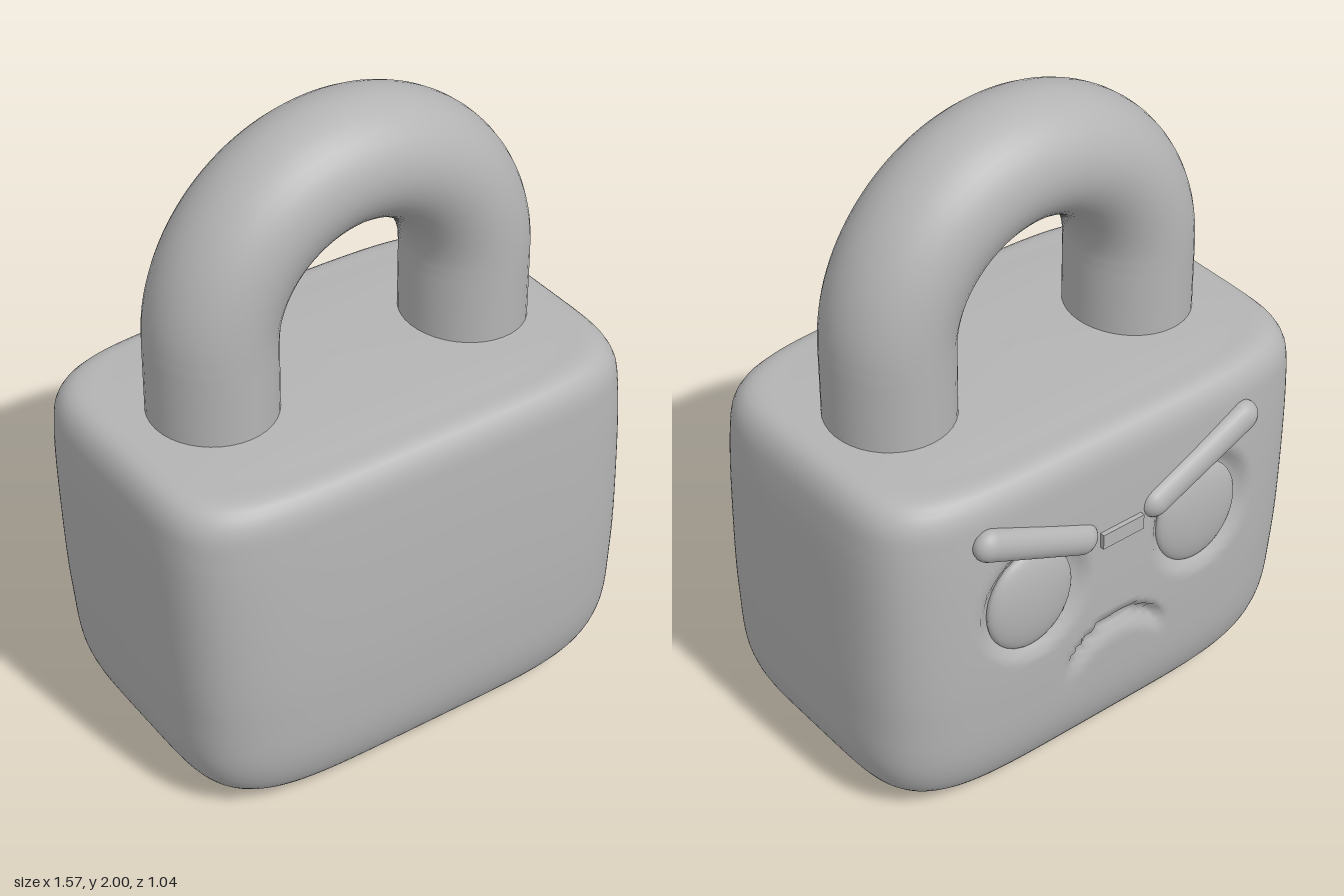
import * as THREE from 'three';
import { ParametricGeometry } from 'three/addons/geometries/ParametricGeometry.js';

const V = (x, y, z) => new THREE.Vector3(x, y, z);
const smooth = THREE.MathUtils.smoothstep;

// Half width, height and half depth of the body, from underside to top
const profile = new THREE.CatmullRomCurve3([
  V(0, 0, 0), V(0.45, 0.006, 0.28), V(0.6, 0.03, 0.4), V(0.7, 0.085, 0.455),
  V(0.75, 0.19, 0.49), V(0.77, 0.4, 0.506), V(0.778, 0.65, 0.508), V(0.778, 1.0, 0.495),
  V(0.765, 1.09, 0.485), V(0.73, 1.137, 0.455), V(0.6, 1.152, 0.36), V(0, 1.165, 0),
]);

// Depth of the eye sockets and the frowning mouth pressed into the back
function dent(x, y) {
  const eye = Math.hypot((Math.abs(x) - 0.31) / 0.2, (y - 0.72) / 0.21);
  const sockets = 0.036 * (1 - smooth(eye, 0.72, 1));
  const below = 0.52 - 3 * x * x - y;
  const mouth = 0.035 * smooth(below, 0, 0.025) * (1 - smooth(below, 0.025, 0.1))
    * (1 - smooth(Math.abs(x), 0.13, 0.2));
  return Math.max(sockets, mouth);
}

// Rounded-rectangle sections stacked along the profile, leaning very slightly
function bodyGeometry() {
  const geometry = new ParametricGeometry((u, v, target) => {
    const p = profile.getPointAt(THREE.MathUtils.clamp(v, 0, 1));
    const c = Math.cos(u * Math.PI * 2), s = Math.sin(u * Math.PI * 2);
    const r = Math.pow(Math.abs(c) ** 5 + Math.abs(s) ** 5, -0.2);
    const y = Math.max(p.y, 0);
    const x = p.x * r * c;
    let z = -p.z * r * s;
    if (z < -0.4 && y > 0.3 && y < 1.05) z += dent(x, y);
    target.set(x + 0.015 - 0.027 * y, y, z + 0.01);
  }, 280, 110);
  geometry.computeVertexNormals();
  return geometry;
}

// Centre line of the shackle: two straight legs and a half circle
function shacklePath() {
  const path = new THREE.CurvePath();
  const arc = [];
  for (let i = 0; i <= 24; i++) {
    const a = Math.PI * (1 - i / 24);
    arc.push(V(0.435 * Math.cos(a), 1.38 + 0.435 * Math.sin(a), 0));
  }
  path.add(new THREE.LineCurve3(V(-0.435, 1.05, 0), arc[0]));
  path.add(new THREE.CatmullRomCurve3(arc));
  path.add(new THREE.LineCurve3(arc[24], V(0.435, 1.05, 0)));
  return path;
}

export function createModel() {
  const group = new THREE.Group();
  const grey = new THREE.MeshStandardMaterial({ color: 0xb4b4b4 });
  grey.name = 'grey';

  const add = (name, geometry, position = [0, 0, 0]) => {
    const mesh = new THREE.Mesh(geometry, grey);
    mesh.name = name;
    mesh.position.set(...position);
    group.add(mesh);
    return mesh;
  };

  add('body', bodyGeometry());

  const shackle = add('shackle', new THREE.TubeGeometry(shacklePath(), 90, 0.187, 40));
  shackle.scale.z = 1.07;

  // Angry eyes and slanted brows on the back
  for (const side of [1, -1]) {
    const label = side > 0 ? 'left' : 'right';
    add(label + 'Eye', new THREE.SphereGeometry(1, 32, 20), [side * 0.31, 0.71, -0.465])
      .scale.set(0.15, 0.17, 0.042);

    const brow = add(label + 'Brow', new THREE.CapsuleGeometry(0.05, 0.36, 8, 20),
      [side * 0.3, 0.92, -0.483]);
    brow.rotation.z = side * (0.42 - Math.PI / 2);
    brow.scale.z = 0.8;
  }

  // Small bridge between the brows
  add('browBridge', new THREE.BoxGeometry(0.15, 0.05, 0.04), [0, 0.815, -0.488]);

  return group;
}
